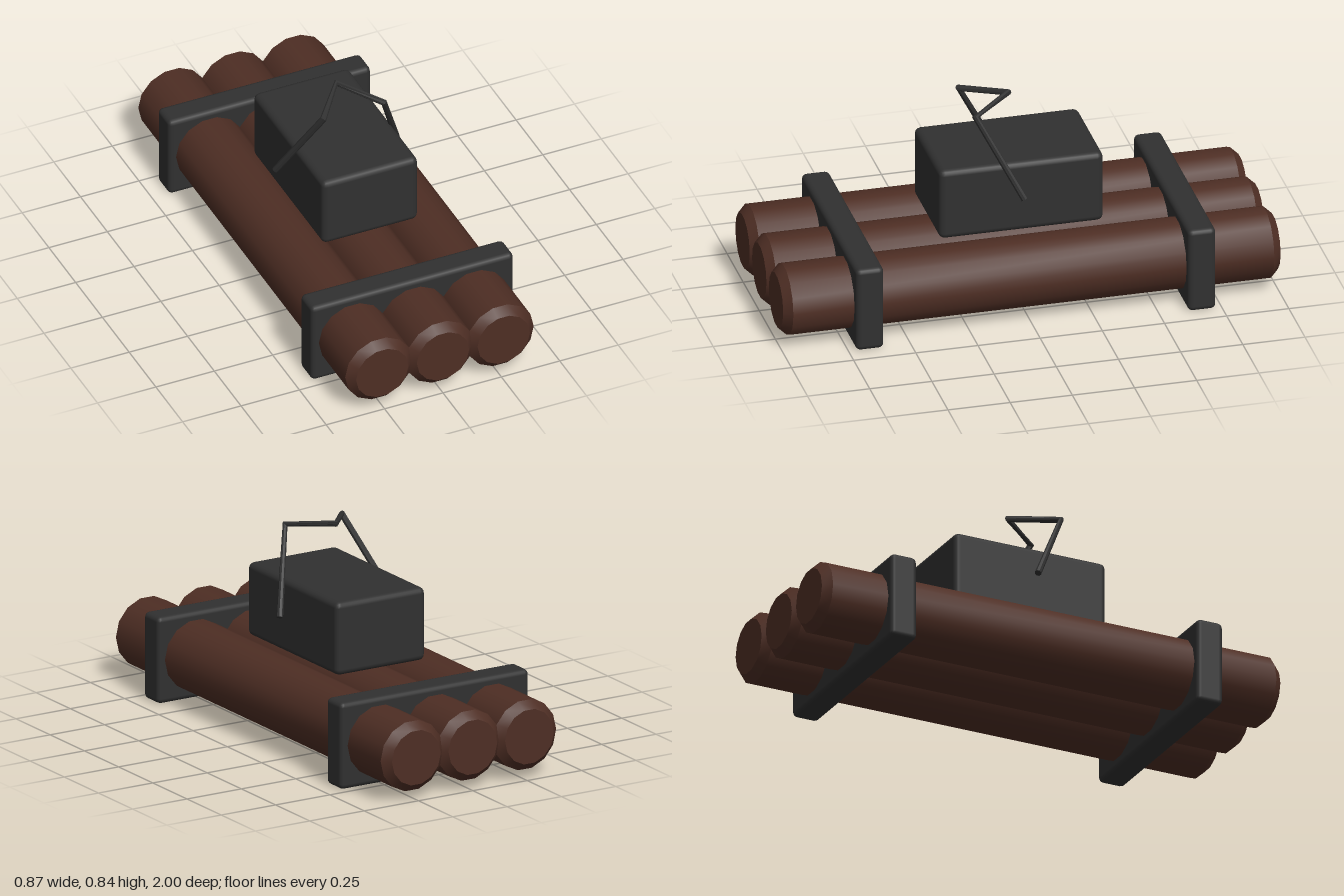
import * as THREE from 'three';
import { toCreasedNormals } from 'three/addons/utils/BufferGeometryUtils.js';
import { RoundedBoxGeometry } from 'three/addons/geometries/RoundedBoxGeometry.js';

const brown = new THREE.MeshStandardMaterial({ color: 0x4e2e24 });
brown.name = 'brown';
const charcoal = new THREE.MeshStandardMaterial({ color: 0x303030 });
charcoal.name = 'charcoal';

// Round bar swept along a polyline, with closed ends
function wireGeometry(points, radius, sides) {
  const n = points.length;
  const dirs = points.slice(1).map((p, i) => p.clone().sub(points[i]).normalize());
  const tangents = points.map((p, i) =>
    dirs[Math.max(i - 1, 0)].clone().add(dirs[Math.min(i, n - 2)]).normalize());
  const side = new THREE.Vector3(0, 0, 1).cross(tangents[0]).normalize();
  let ring = Array.from({ length: sides }, (_, j) =>
    side.clone().multiplyScalar(radius).applyAxisAngle(tangents[0], (j / sides) * Math.PI * 2));
  const pos = [];
  const index = [];
  points.forEach((p, i) => {
    if (i > 0) {
      const turn = new THREE.Quaternion().setFromUnitVectors(tangents[i - 1], tangents[i]);
      ring = ring.map((v) => v.clone().applyQuaternion(turn));
    }
    ring.forEach((v) => pos.push(...p.clone().add(v).toArray()));
  });
  for (let i = 0; i < n - 1; i++) {
    for (let j = 0; j < sides; j++) {
      const a = i * sides + j;
      const b = i * sides + ((j + 1) % sides);
      index.push(a, b, a + sides, b, b + sides, a + sides);
    }
  }
  const last = (n - 1) * sides;
  for (let j = 1; j < sides - 1; j++) {
    index.push(0, j + 1, j, last, last + j, last + j + 1);
  }
  const geo = new THREE.BufferGeometry();
  geo.setAttribute('position', new THREE.Float32BufferAttribute(pos, 3));
  geo.setIndex(index);
  return toCreasedNormals(geo, 0.5);
}

export function createModel() {
  const model = new THREE.Group();
  model.name = 'tubeBundle';
  const add = (name, geometry, material, x, y, z) => {
    const mesh = new THREE.Mesh(geometry, material);
    mesh.name = name;
    mesh.position.set(x, y, z);
    model.add(mesh);
  };

  // Three chamfered tubes lying along z, flat facet on top
  const sides = 14;
  const profile = [[0, -1], [0.112, -1], [0.1436, -0.967], [0.1436, 0.967], [0.112, 1], [0, 1]]
    .map(([r, y]) => new THREE.Vector2(r, y));
  const tube = toCreasedNormals(
    new THREE.LatheGeometry(profile, sides).rotateY(Math.PI / sides).rotateX(Math.PI / 2), 0.6);
  ['rightTube', 'middleTube', 'leftTube'].forEach((name, i) =>
    add(name, tube, brown, (i - 1) * 0.26, 0.18, 0));

  // Straps around the bundle
  const strap = new RoundedBoxGeometry(0.866, 0.352, 0.112, 2, 0.02);
  add('frontStrap', strap, charcoal, 0, 0.179, 0.665);
  add('backStrap', strap, charcoal, 0, 0.179, -0.67);

  // Box on top
  add('topBox', new RoundedBoxGeometry(0.41, 0.297, 0.66, 2, 0.024), charcoal, 0, 0.4745, -0.003);

  // Bent wire over the box
  const path = [[-0.259, 0.49, 0], [-0.13, 0.806, 0.165], [0, 0.83, 0],
    [0.13, 0.806, 0.165], [0.259, 0.49, 0]].map((p) => new THREE.Vector3(...p));
  add('wire', wireGeometry(path, 0.0135, 8), charcoal, 0, 0, 0);

  return model;
}
